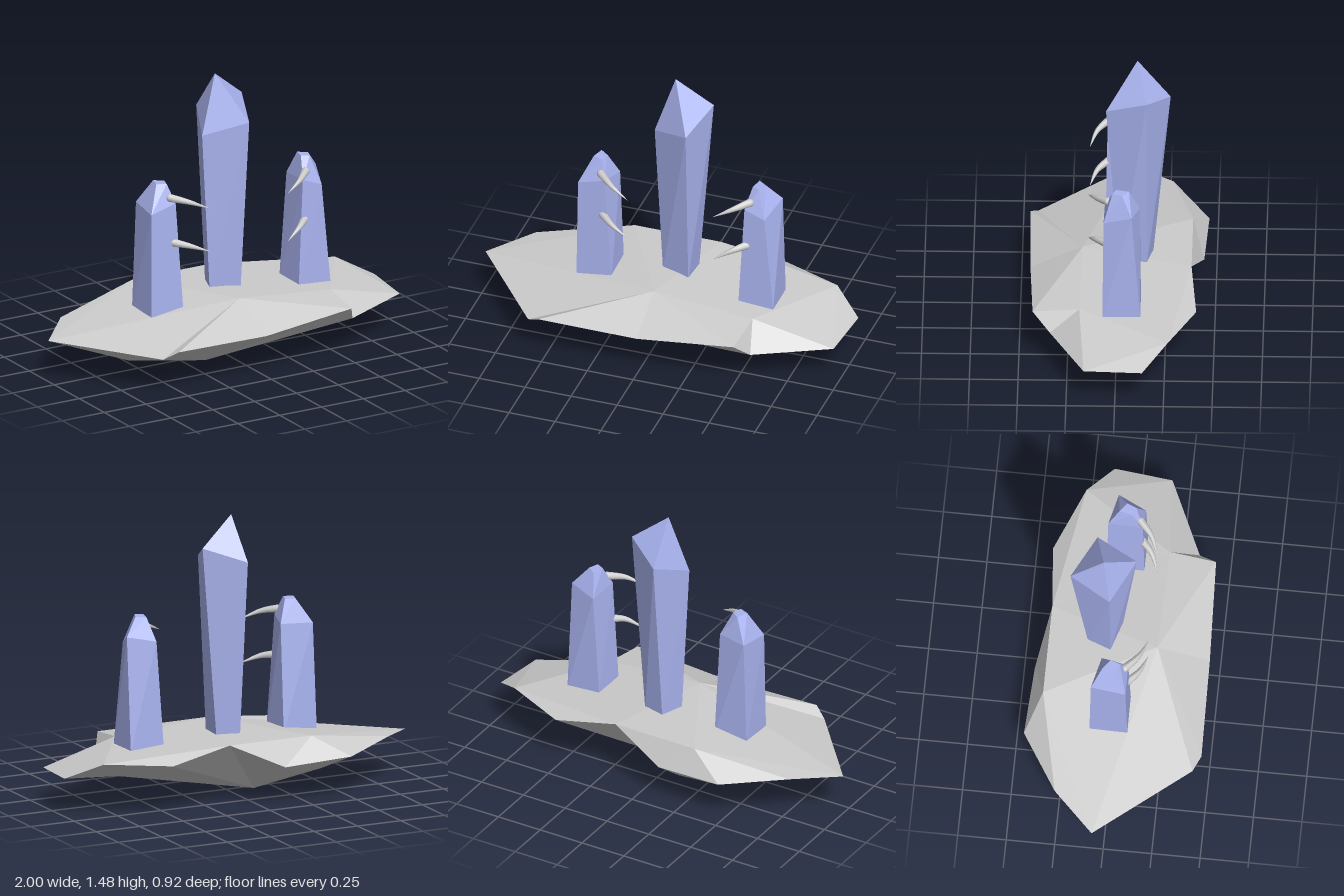
import * as THREE from 'three';

const stone = new THREE.MeshStandardMaterial({ color: 0xcccccc, flatShading: true });
const horn = new THREE.MeshStandardMaterial({ color: 0xcccccc });
const crystal = new THREE.MeshStandardMaterial({ color: 0xaab4f0, flatShading: true });

function polyMesh(name, points, faces, material) {
  const geo = new THREE.BufferGeometry();
  geo.setAttribute('position', new THREE.Float32BufferAttribute(
    faces.flat().flatMap((i) => points[i]), 3));
  geo.computeVertexNormals();
  const mesh = new THREE.Mesh(geo, material);
  mesh.name = name;
  return mesh;
}

// Orders a triangle so that it faces up (sign 1) or down (sign -1)
function orient(points, [a, b, c], sign) {
  const [p, q, r] = [points[a], points[b], points[c]];
  const ny = (q[2] - p[2]) * (r[0] - p[0]) - (q[0] - p[0]) * (r[2] - p[2]);
  return ny * sign > 0 ? [a, b, c] : [a, c, b];
}

// Faceted slab: a rim, three crown points above and five keel points below
function rockBase() {
  const points = [
    [-1, 0.22, -0.06], [-0.8, 0.25, -0.27], [-0.49, 0.22, -0.46], [-0.12, 0.2, -0.44],
    [0.17, 0.335, -0.38], [0.51, 0.27, -0.41], [0.84, 0.285, -0.27], [1, 0.2, -0.14],
    [0.97, 0.19, 0.16], [0.58, 0.18, 0.34], [0.52, 0.27, 0.43], [0, 0.22, 0.45],
    [-0.53, 0.23, 0.46], [-0.6, 0.19, 0.42],
    [-0.3, 0.335, -0.38], [0, 0.345, 0.18], [0.54, 0.3, 0.19],
    [-0.14, 0, 0.07], [-0.14, 0, -0.04], [-0.55, 0.05, 0], [0.62, 0.14, 0], [-0.2, 0.14, -0.37],
  ];
  const A = 14, B = 15, C = 16, D = 17, E = 18, F = 19, G = 20, H = 21;
  const top = [
    [0, 1, A], [1, 2, A], [2, 3, A], [3, 4, A], [A, B, 0], [A, 4, B], [B, 13, 0],
    [B, 12, 13], [B, 11, 12], [B, 10, 11], [C, B, 10], [C, 9, 10], [C, 8, 9],
    [6, 7, 8], [C, 6, 8], [C, 4, 6], [4, 5, 6], [C, B, 4],
  ];
  const under = [
    [0, 1, F], [1, 2, F], [13, 0, F], [12, 13, F], [2, 3, H], [3, 4, H], [F, 2, H],
    [E, F, H], [E, H, 4], [E, 4, 5], [E, 5, G], [5, 6, G], [6, 7, G], [7, 8, G],
    [8, 9, G], [D, E, G], [D, G, 9], [D, 9, 10], [D, 10, 11], [D, 11, 12], [D, F, 12], [D, E, F],
  ];
  return polyMesh('rockBase', points, [
    ...top.map((t) => orient(points, t, 1)),
    ...under.map((t) => orient(points, t, -1)),
  ], stone);
}

// Skins stacked four-cornered rings (counterclockwise from above) and closes both ends
function crystalMesh(name, rings) {
  const faces = [[0, 2, 1], [0, 3, 2]];
  for (let r = 0; r < rings.length - 1; r++) {
    for (let i = 0; i < 4; i++) {
      const a = r * 4 + i, b = r * 4 + (i + 1) % 4;
      faces.push([a, b, b + 4], [a, b + 4, a + 4]);
    }
  }
  const t = (rings.length - 1) * 4;
  faces.push([t, t + 1, t + 2], [t, t + 2, t + 3]);
  return polyMesh(name, rings.flat(), faces, crystal);
}

const square = (x0, x1, z0, z1, y) => [[x0, y, z1], [x1, y, z1], [x1, y, z0], [x0, y, z0]];

// Curved horn: a tube narrowed towards its tip, with a rounded root
function hornMesh(name, start, mid, end) {
  const [p, q, r] = [start, mid, end].map((v) => new THREE.Vector3(...v));
  const curve = new THREE.CatmullRomCurve3([p, q, r]);
  const segments = 12, sides = 10, radius = 0.021;
  const geo = new THREE.TubeGeometry(curve, segments, radius, sides);
  const pos = geo.attributes.position, v = new THREE.Vector3();
  for (let i = 0; i < pos.count; i++) {
    const t = Math.floor(i / (sides + 1)) / segments;
    const centre = curve.getPointAt(t);
    v.fromBufferAttribute(pos, i).sub(centre).multiplyScalar(1 - 0.97 * t ** 1.3).add(centre);
    pos.setXYZ(i, v.x, v.y, v.z);
  }
  geo.computeVertexNormals();
  const group = new THREE.Group();
  group.name = name;
  const shaft = new THREE.Mesh(geo, horn);
  shaft.name = 'hornShaft';
  const root = new THREE.Mesh(new THREE.SphereGeometry(radius, 10, 8), horn);
  root.name = 'hornRoot';
  root.position.copy(p);
  group.add(shaft, root);
  return group;
}

export function createModel() {
  const model = new THREE.Group();
  model.name = 'crystalRock';
  model.add(rockBase());

  // Tall middle crystal, widening upwards to a single point
  const apex = [0.02, 1.48, -0.1];
  model.add(crystalMesh('middleCrystal', [
    [[0.12, 0.32, -0.01], [0.13, 0.32, -0.15], [0.01, 0.32, -0.18], [-0.035, 0.32, -0.06]],
    [[0.13, 1.24, 0.06], [0.21, 1.33, -0.15], [0.01, 1.26, -0.27], [-0.08, 1.17, -0.06]],
    [apex, apex, apex, apex],
  ]));

  // Short side crystals with chipped, blunt tops
  model.add(crystalMesh('rightCrystal', [
    square(-0.46, -0.27, -0.125, 0.07, 0.29),
    [[-0.455, 0.84, 0.06], [-0.31, 0.88, 0.06], [-0.275, 0.86, -0.08], [-0.44, 0.86, -0.12]],
    [[-0.39, 0.98, 0], [-0.34, 0.98, 0.02], [-0.325, 0.98, -0.03], [-0.37, 0.98, -0.065]],
  ]));
  model.add(crystalMesh('leftCrystal', [
    square(0.42, 0.61, -0.125, 0.07, 0.29),
    [[0.45, 0.87, 0.06], [0.56, 0.83, 0.065], [0.61, 0.89, -0.08], [0.46, 0.86, -0.12]],
    [[0.475, 0.98, 0], [0.515, 0.98, 0.02], [0.535, 0.98, -0.03], [0.49, 0.98, -0.065]],
  ]));

  // Two horns on each side crystal, curving inwards and forwards
  for (const [name, x, tipX, drop] of [['right', -0.335, -0.155, 0], ['left', 0.475, 0.31, 0.015]]) {
    const midX = x + (tipX - x) * 0.45;
    model.add(
      hornMesh(`${name}UpperHorn`, [x, 0.91, 0.045], [midX, 0.89, 0.11], [tipX, 0.85, 0.148]),
      hornMesh(`${name}LowerHorn`, [x + (tipX - x) * 0.08, 0.667 - drop, 0.055],
        [midX, 0.653 - drop, 0.11], [tipX, 0.617 - drop * 1.8, 0.148]),
    );
  }
  return model;
}
